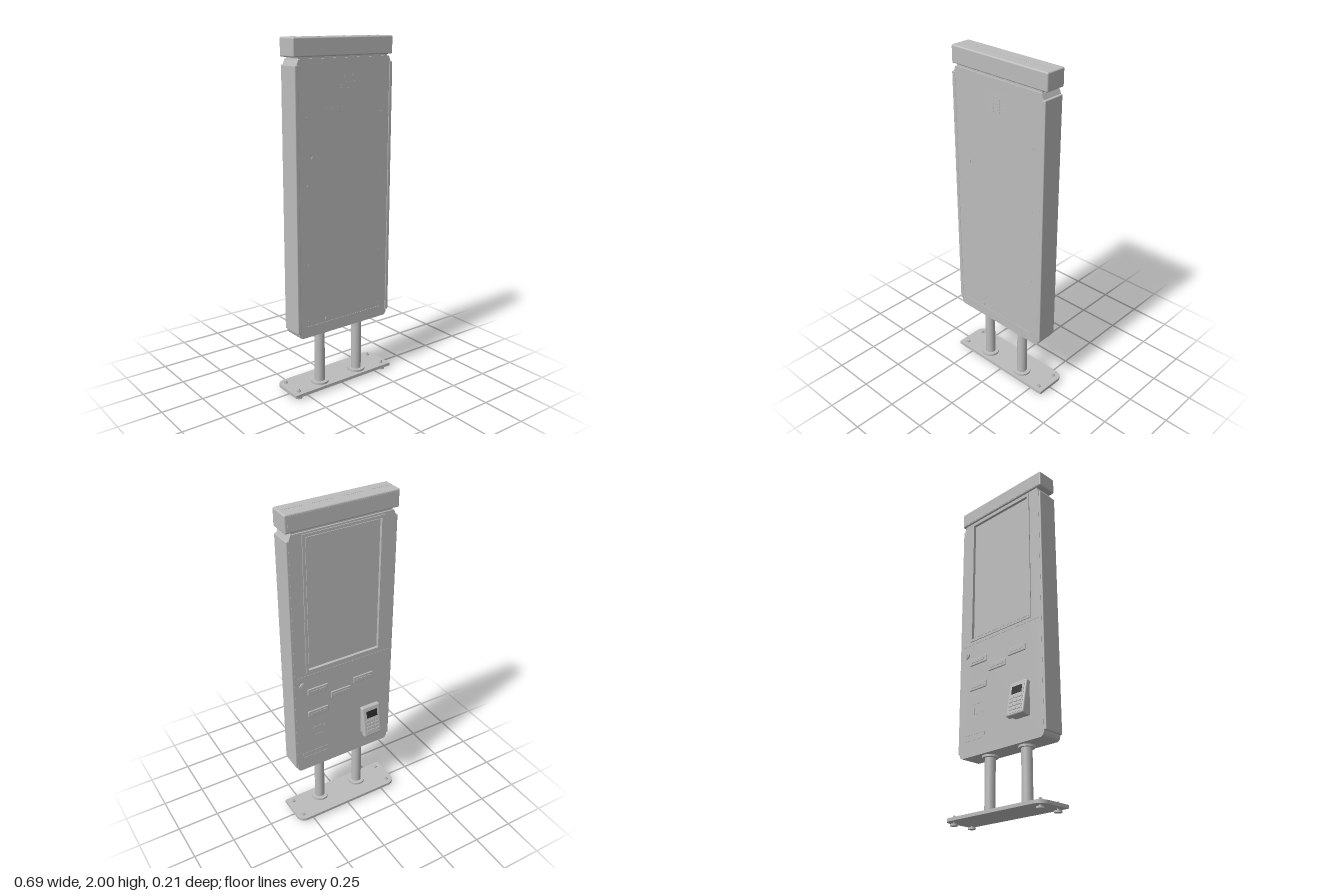
import * as THREE from 'three';
import { RoundedBoxGeometry } from 'three/addons/geometries/RoundedBoxGeometry.js';

export function createModel() {
  const root = new THREE.Group();
  const grey = new THREE.MeshStandardMaterial({ color: 0xbcbcbc });
  grey.name = 'steelGrey';
  const dark = new THREE.MeshStandardMaterial({ color: 0x2a2a2a });
  dark.name = 'displayDark';

  const add = (name, geo, x = 0, y = 0, z = 0, parent = root, mat = grey) => {
    const m = new THREE.Mesh(geo, mat);
    m.name = name;
    m.position.set(x, y, z);
    parent.add(m);
    return m;
  };
  const box = (name, w, h, d, x, y, z, parent, mat) =>
    add(name, new THREE.BoxGeometry(w, h, d), x, y, z, parent, mat);
  const rounded = (name, w, h, d, r, x, y, z, parent) =>
    add(name, new RoundedBoxGeometry(w, h, d, 3, r), x, y, z, parent);
  const rod = (name, r, h, x, y, z, sides = 32) =>
    add(name, new THREE.CylinderGeometry(r, r, h, sides), x, y, z);
  const disc = (name, r, d, x, y, z, sides = 24) => {
    const m = rod(name, r, d, x, y, z, sides);
    m.rotation.x = Math.PI / 2;
    return m;
  };
  const extrude = (shape, depth) =>
    new THREE.ExtrudeGeometry(shape, { depth, bevelEnabled: false, curveSegments: 10 });
  const rectHole = (w, y0, y1) => new THREE.Path([
    [-w, y0], [-w, y1], [w, y1], [w, y0]].map(p => new THREE.Vector2(...p)));

  // Cabinet outline with rounded lower corners and clipped upper corners
  const outline = () => {
    const s = new THREE.Shape();
    s.moveTo(-0.285, 0.367);
    s.lineTo(0.285, 0.367);
    s.quadraticCurveTo(0.312, 0.367, 0.312, 0.4);
    s.lineTo(0.312, 1.86);
    s.lineTo(0.3, 1.89);
    s.lineTo(-0.3, 1.89);
    s.lineTo(-0.312, 1.86);
    s.lineTo(-0.312, 0.4);
    s.quadraticCurveTo(-0.312, 0.367, -0.285, 0.367);
    return s;
  };
  add('cabinetBody', extrude(outline(), 0.115), 0, 0, -0.018);
  const back = outline();
  back.holes.push(rectHole(0.225, 1.075, 1.865));
  add('cabinetBackPanel', extrude(back, 0.012), 0, 0, -0.03);
  box('neck', 0.59, 0.03, 0.11, 0, 1.89, 0.033);

  // Side covers
  for (const s of [-1, 1]) {
    rounded('sideCover', 0.022, 1.46, 0.129, 0.005, s * 0.314, 1.13, 0.0355);
  }

  // Header box with inset faces and slits on top
  rounded('header', 0.66, 0.099, 0.125, 0.008, 0, 1.9485, 0.031);
  box('headerBackFace', 0.63, 0.08, 0.002, 0, 1.948, -0.032);
  for (const x of [-0.253, -0.085, 0.085, 0.253]) {
    box('headerSlit', 0.115, 0.002, 0.003, x, 1.998, 0.035);
  }

  // Screen bezel around the recessed glass
  const bezel = new THREE.Shape([
    [-0.24, 1.06], [0.24, 1.06], [0.24, 1.88], [-0.24, 1.88]].map(p => new THREE.Vector2(...p)));
  bezel.holes.push(rectHole(0.225, 1.075, 1.865));
  add('screenBezel', extrude(bezel, 0.006), 0, 0, -0.035);
  box('screenGlass', 0.43, 0.77, 0.004, 0, 1.47, -0.02);
  box('backSeam', 0.6, 0.003, 0.002, 0, 1.04, -0.0305);

  // Round button and reader slots on the working side
  disc('roundButton', 0.02, 0.008, 0.265, 0.98, -0.034);
  disc('roundButtonCap', 0.012, 0.012, 0.265, 0.98, -0.034);
  for (const [x, y] of [[0.17, 0.925], [0.02, 0.855], [-0.13, 0.9], [0.17, 0.77]]) {
    rounded('readerSlot', 0.13, 0.042, 0.009, 0.004, x, y, -0.032);
    box('readerSlotLip', 0.1, 0.012, 0.004, x, y, -0.037);
  }
  const frame = (name, w, h, x, y) => {
    for (const s of [-1, 1]) {
      box(name, w, 0.003, 0.002, x, y + s * h / 2, -0.0305);
      box(name, 0.003, h, 0.002, x + s * w / 2, y, -0.0305);
    }
  };
  frame('scannerWindow', 0.07, 0.06, 0.165, 0.635);
  frame('receiptFlap', 0.16, 0.032, 0.195, 0.475);

  // Payment terminal on its wedge mount
  const wedge = new THREE.Shape([
    [0.025, 0.67], [0.025, 0.5], [0.078, 0.5], [0.045, 0.67]].map(p => new THREE.Vector2(...p)));
  const mount = add('terminalMount', extrude(wedge, 0.1), -0.12, 0, 0);
  mount.rotation.y = Math.PI / 2;
  mount.position.x = -0.22;
  const terminal = new THREE.Group();
  terminal.name = 'paymentTerminal';
  terminal.position.set(-0.17, 0.593, -0.066);
  terminal.rotation.x = 0.18;
  root.add(terminal);
  rounded('terminalCase', 0.122, 0.2, 0.033, 0.009, 0, 0, 0, terminal);
  box('terminalFace', 0.1, 0.175, 0.003, 0, 0, -0.0165, terminal);
  box('terminalDisplay', 0.072, 0.045, 0.002, 0, 0.048, -0.0185, terminal, dark);
  for (let r = 0; r < 4; r++) {
    for (let c = -1; c <= 1; c++) {
      rounded('terminalKey', 0.024, 0.015, 0.006, 0.002, c * 0.03, 0.005 - r * 0.023, -0.018, terminal);
    }
  }

  // Service side: vent, seams, locks and screws
  for (let r = 0; r < 7; r++) {
    for (let c = -1; c <= 1; c++) {
      box('ventSlat', 0.036, 0.006, 0.002, c * 0.043, 1.715 + r * 0.016, 0.0972);
    }
  }
  box('doorTopSeam', 0.53, 0.002, 0.002, 0, 1.635, 0.0965);
  box('doorBottomSeam', 0.53, 0.005, 0.004, 0, 0.43, 0.0972);
  disc('doorLock', 0.012, 0.006, -0.215, 1.375, 0.098);
  disc('doorLock', 0.012, 0.006, -0.13, 0.45, 0.098);
  for (const s of [-1, 1]) {
    for (const y of [1.59, 1.23, 0.79, 0.46]) disc('doorScrew', 0.005, 0.003, s * 0.25, y, 0.0975, 10);
  }

  // Twin posts with flanges
  for (const s of [-1, 1]) {
    rod('post', 0.03, 0.33, s * 0.135, 0.2, 0.035);
    rod('postFootFlange', 0.052, 0.012, s * 0.135, 0.043, 0.035);
    rod('postTopFlange', 0.045, 0.012, s * 0.135, 0.361, 0.035);
  }

  // Base plate, rounded on the working side only
  const base = new THREE.Shape();
  base.moveTo(-0.347, -0.103);
  base.lineTo(0.347, -0.103);
  base.lineTo(0.347, 0.054);
  base.absarc(0.297, 0.054, 0.05, 0, Math.PI / 2);
  base.lineTo(-0.297, 0.104);
  base.absarc(-0.297, 0.054, 0.05, Math.PI / 2, Math.PI);
  add('basePlate', extrude(base, 0.018), 0, 0.019, 0).rotation.x = -Math.PI / 2;

  // Levelling feet with hex nuts above the plate
  for (const x of [-0.306, 0.306]) {
    for (const z of [-0.063, 0.068]) {
      rod('footPad', 0.021, 0.01, x, 0.005, z);
      rod('footStem', 0.006, 0.052, x, 0.028, z, 16);
      rod('hexNut', 0.012, 0.01, x, 0.041, z, 6);
    }
  }
  return root;
}
